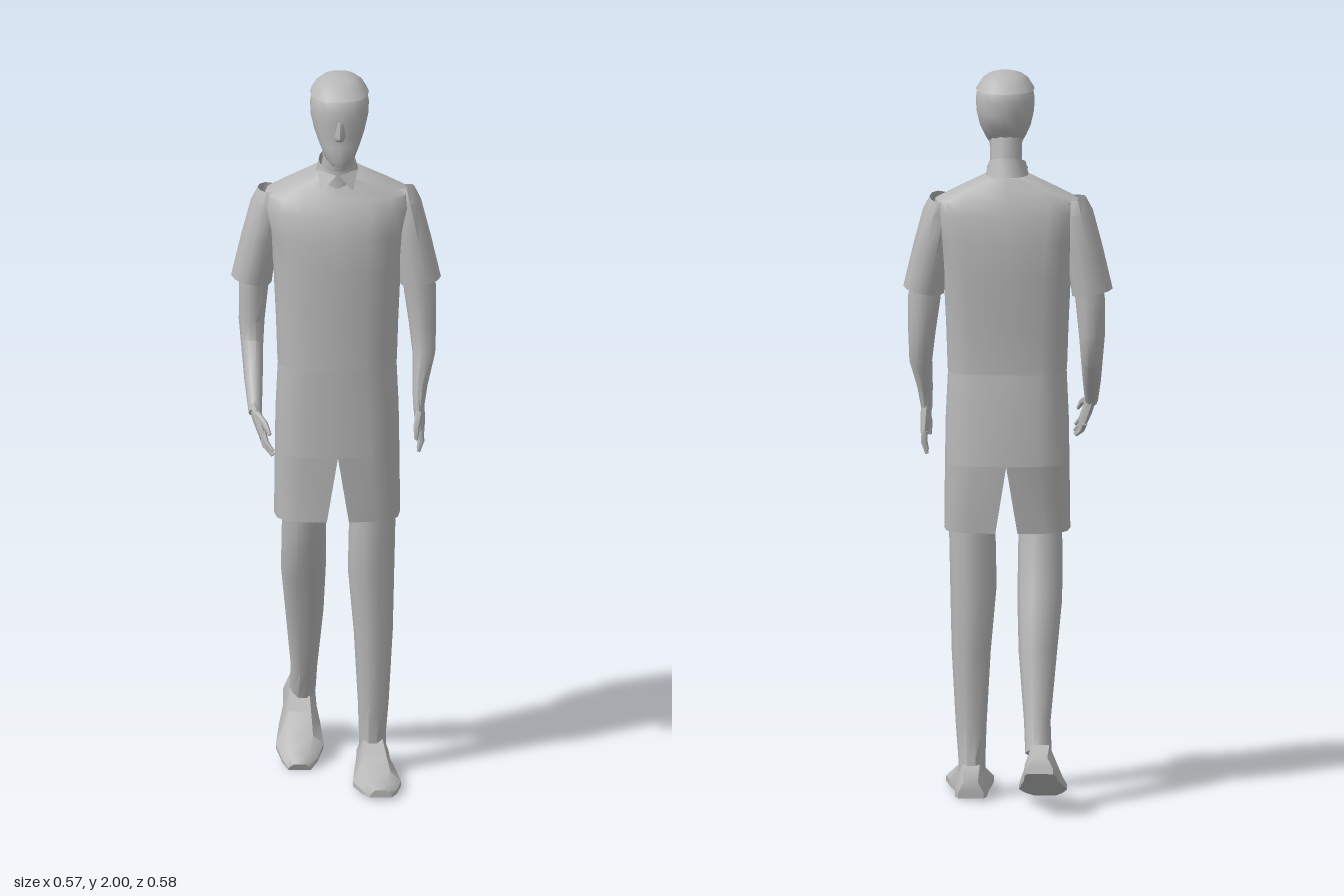
import * as THREE from 'three';
import { toCreasedNormals } from 'three/addons/utils/BufferGeometryUtils.js';

const V = (x, y, z) => new THREE.Vector3(x, y, z);
const grey = new THREE.MeshStandardMaterial({ color: 0xb8b8b8, side: THREE.DoubleSide });
grey.name = 'plain grey';

// Skin a list of rings (arrays of points); faces are turned outward by signed volume.
function loft(rings, capped = true, crease = 0.75) {
  const n = rings[0].length, tris = [];
  const mid = r => r.reduce((s, p) => s.add(p), V(0, 0, 0)).divideScalar(n);
  for (let i = 0; i + 1 < rings.length; i++) {
    for (let j = 0; j < n; j++) {
      const k = (j + 1) % n, a = rings[i], b = rings[i + 1];
      tris.push([a[j], a[k], b[k]], [a[j], b[k], b[j]]);
    }
  }
  if (capped) {
    const first = rings[0], last = rings[rings.length - 1], m0 = mid(first), m1 = mid(last);
    for (let j = 0; j < n; j++) {
      const k = (j + 1) % n;
      tris.push([m0, first[k], first[j]], [m1, last[j], last[k]]);
    }
  }
  const c = mid(rings[0]).add(mid(rings[rings.length - 1])).multiplyScalar(0.5);
  let volume = 0;
  for (const [p, q, r] of tris) {
    volume += p.clone().sub(c).dot(q.clone().sub(c).cross(r.clone().sub(c)));
  }
  const pts = tris.flatMap(t => (volume < 0 ? [t[0], t[2], t[1]] : t));
  const geo = new THREE.BufferGeometry().setFromPoints(pts);
  return toCreasedNormals(geo, crease);
}

// Horizontal rounded-box ring between z0 (back) and z1 (front).
function slab(y, rx, z0, z1, front = 2, back = 2, cx = 0, n = 16, slope = 0) {
  const pow = (v, p) => Math.sign(v) * Math.abs(v) ** (2 / p);
  return Array.from({ length: n }, (_, i) => {
    const a = (i / n) * Math.PI * 2, s = Math.sin(a), p = s > 0 ? front : back;
    const z = (z0 + z1) / 2 + ((z1 - z0) / 2) * pow(s, p);
    return V(cx + rx * pow(Math.cos(a), p), y - slope * z, z);
  });
}

// Limb along a path of [x, y, z, halfWidth, halfDepth], rings square to the path.
function limb(path, capped = true, n = 10) {
  const c = path.map(p => V(p[0], p[1], p[2]));
  return loft(path.map((p, i) => {
    const dir = c[Math.max(i - 1, 0)].clone().sub(c[Math.min(i + 1, c.length - 1)]).normalize();
    const q = new THREE.Quaternion().setFromUnitVectors(V(0, 1, 0), dir);
    return Array.from({ length: n }, (_, j) => {
      const a = (j / n) * Math.PI * 2;
      return V(p[3] * Math.cos(a), 0, p[4] * Math.sin(a)).applyQuaternion(q).add(c[i]);
    });
  }), capped);
}

export function createModel() {
  const model = new THREE.Group();
  const add = (name, geo, parent = model) => {
    const mesh = new THREE.Mesh(geo, grey);
    mesh.name = name;
    parent.add(mesh);
    return mesh;
  };

  // Head and neck
  const skull = [
    [1.768, 0.022, 0.1, 0.15], [1.785, 0.04, 0.07, 0.155], [1.82, 0.057, 0.01, 0.153],
    [1.85, 0.069, -0.03, 0.15], [1.89, 0.078, -0.041, 0.154], [1.925, 0.08, -0.044, 0.15],
    [1.95, 0.076, -0.042, 0.143], [1.975, 0.061, -0.026, 0.122], [1.99, 0.042, -0.004, 0.095],
    [1.998, 0.018, 0.025, 0.065],
  ];
  add('head', loft(skull.map(([y, r, a, b]) => slab(y, r, a, b, 2.4, 2.3, 0.006)), true, 0.9));
  add('hair', loft(skull.slice(6).map(([y, r, a, b]) =>
    slab(y + 0.002, r + 0.004, a - 0.003, b + 0.005, 2.4, 2.3, 0.006)), true, 0.9));
  add('nose', loft([
    [V(-0.008, 1.895, 0.148), V(0.018, 1.895, 0.148), V(0.005, 1.895, 0.157)],
    [V(-0.012, 1.852, 0.146), V(0.022, 1.852, 0.146), V(0.005, 1.855, 0.176)],
    [V(-0.008, 1.84, 0.146), V(0.018, 1.84, 0.146), V(0.005, 1.841, 0.158)],
  ]));
  add('neck', limb([[0.004, 1.83, 0.055, 0.045, 0.052], [0.004, 1.76, 0.042, 0.043, 0.05],
    [0, 1.68, 0.025, 0.052, 0.055]]));

  // Shirt
  add('shirt', loft([
    [1.18, 0.162, -0.066, 0.147], [1.3, 0.166, -0.07, 0.148], [1.45, 0.173, -0.086, 0.148],
    [1.55, 0.182, -0.088, 0.146], [1.62, 0.2, -0.08, 0.128], [1.655, 0.195, -0.07, 0.108],
    [1.685, 0.135, -0.06, 0.092], [1.72, 0.06, -0.045, 0.08],
  ].map(([y, r, a, b]) => slab(y, r, a, b, 2.5, 3.6))));
  add('collar', loft([slab(1.71, 0.062, -0.038, 0.092, 2, 2, 0, 16, 0.25),
    slab(1.765, 0.05, -0.02, 0.09, 2, 2, 0, 16, 0.35)], false));
  for (const s of [-1, 1]) {
    const flap = [V(s * 0.004, 1.725, 0.096), V(s * 0.056, 1.735, 0.07), V(s * 0.042, 1.682, 0.1)];
    add('collarFlap', loft([flap, flap.map(p => p.clone().add(V(0, -0.002, -0.006)))]));
  }

  // Sleeves
  add('leftSleeve', limb([[0.18, 1.66, 0, 0.03, 0.045], [0.185, 1.62, 0.008, 0.044, 0.06],
    [0.205, 1.52, 0.018, 0.05, 0.06], [0.227, 1.4, 0.025, 0.056, 0.06]], false));
  add('rightSleeve', limb([[-0.185, 1.66, 0, 0.03, 0.045], [-0.188, 1.62, 0, 0.046, 0.058],
    [-0.21, 1.52, 0, 0.05, 0.06], [-0.232, 1.4, -0.002, 0.056, 0.061]], false));

  // Arms
  add('leftArm', limb([[0.21, 1.5, 0.025, 0.04, 0.045], [0.225, 1.38, 0.028, 0.044, 0.045],
    [0.232, 1.28, 0.033, 0.037, 0.043], [0.235, 1.2, 0.045, 0.031, 0.037],
    [0.224, 1.12, 0.075, 0.021, 0.028], [0.22, 1.06, 0.09, 0.015, 0.024]]));
  add('rightArm', limb([[-0.21, 1.5, 0, 0.04, 0.045], [-0.226, 1.38, -0.005, 0.04, 0.045],
    [-0.231, 1.28, -0.01, 0.035, 0.042], [-0.23, 1.215, 0.01, 0.03, 0.038],
    [-0.228, 1.14, 0.085, 0.025, 0.03], [-0.225, 1.07, 0.16, 0.018, 0.022]]));

  // Hands hang along -y with the thumb toward +z
  const addHand = (name, s, x, y, z, rx, rz) => {
    const hand = new THREE.Group();
    hand.name = name;
    add('palm', limb([[0, 0.015, 0, 0.014, 0.022], [0, -0.03, 0, 0.015, 0.033],
      [0, -0.08, -0.002, 0.011, 0.033]], true, 8), hand);
    for (let i = 0; i < 4; i++) {
      const fz = -0.028 + i * 0.017, len = [0.045, 0.058, 0.062, 0.055][i];
      add('finger', limb([[0, -0.07, fz, 0.009, 0.0085], [0, -0.075 - len / 2, fz, 0.008, 0.0075],
        [-s * 0.01, -0.075 - len, fz, 0.005, 0.005]], true, 6), hand);
    }
    add('thumb', limb([[0, -0.02, 0.02, 0.01, 0.012], [-s * 0.01, -0.055, 0.04, 0.009, 0.009],
      [-s * 0.014, -0.09, 0.044, 0.005, 0.005]], true, 6), hand);
    hand.position.set(x, y, z);
    hand.rotation.set(rx, 0, rz);
    model.add(hand);
  };
  addHand('leftHand', 1, 0.22, 1.07, 0.088, 0, 0.07);
  addHand('rightHand', -1, -0.225, 1.075, 0.155, -0.6, 0.28);

  // Shorts: hips, then two legs that split from the crotch ring
  const crotch = slab(0.93, 0.169, -0.085, 0.141, 3, 3);
  add('shortsHips', loft([crotch, slab(1.05, 0.167, -0.082, 0.144, 3, 3),
    slab(1.2, 0.16, -0.062, 0.144, 2.6, 3.4)], false));
  const half = [12, 13, 14, 15, 0, 1, 2, 3, 4].map(i => crotch[i]);
  for (const s of [-1, 1]) {
    const top = half.map(p => V(s * Math.max(p.x, 0), p.y, p.z));
    const hem = half.map(p => V(s * (0.03 + Math.max(p.x, 0) * 0.835), 0.742,
      0.033 + (p.z - 0.028) * 0.86));
    add(s > 0 ? 'leftShortsLeg' : 'rightShortsLeg', loft([top, hem], false));
  }

  // Legs
  add('leftLeg', limb([[0.095, 0.86, 0.045, 0.06, 0.068], [0.095, 0.72, 0.045, 0.063, 0.07],
    [0.092, 0.58, 0.04, 0.063, 0.065], [0.098, 0.4, 0.037, 0.053, 0.056],
    [0.098, 0.2, 0.036, 0.042, 0.046], [0.096, 0.11, 0.028, 0.037, 0.05],
    [0.096, 0.05, 0.022, 0.036, 0.055]]));
  add('rightLeg', limb([[-0.09, 0.86, 0.035, 0.058, 0.068], [-0.09, 0.68, 0.012, 0.06, 0.07],
    [-0.09, 0.56, -0.04, 0.061, 0.068], [-0.086, 0.42, -0.09, 0.052, 0.058],
    [-0.086, 0.24, -0.145, 0.036, 0.042], [-0.09, 0.16, -0.178, 0.036, 0.046]]));

  // Feet: flat-soled sections [z, halfWidth, height, sideShift] from heel to toe
  const footGeometry = s => loft([
    [0, 0.035, 0.045, 0], [0.03, 0.043, 0.085, 0], [0.11, 0.046, 0.09, 0],
    [0.17, 0.056, 0.062, 0.004], [0.25, 0.065, 0.042, 0.008], [0.31, 0.048, 0.03, 0.013],
    [0.345, 0.03, 0.02, 0.016],
  ].map(([z, w, h, x]) => [[-1, 0], [1, 0], [1, 0.35], [0.55, 1], [-0.55, 1], [-1, 0.35]]
    .map(([u, v]) => V(s * x + u * w, v * h, z))));
  add('leftFoot', footGeometry(1)).position.set(0.097, 0.008, -0.053);
  const rearFoot = add('rightFoot', footGeometry(-0.3));
  rearFoot.position.set(-0.097, 0.122, -0.288);
  rearFoot.rotation.x = 0.36;

  return model;
}
